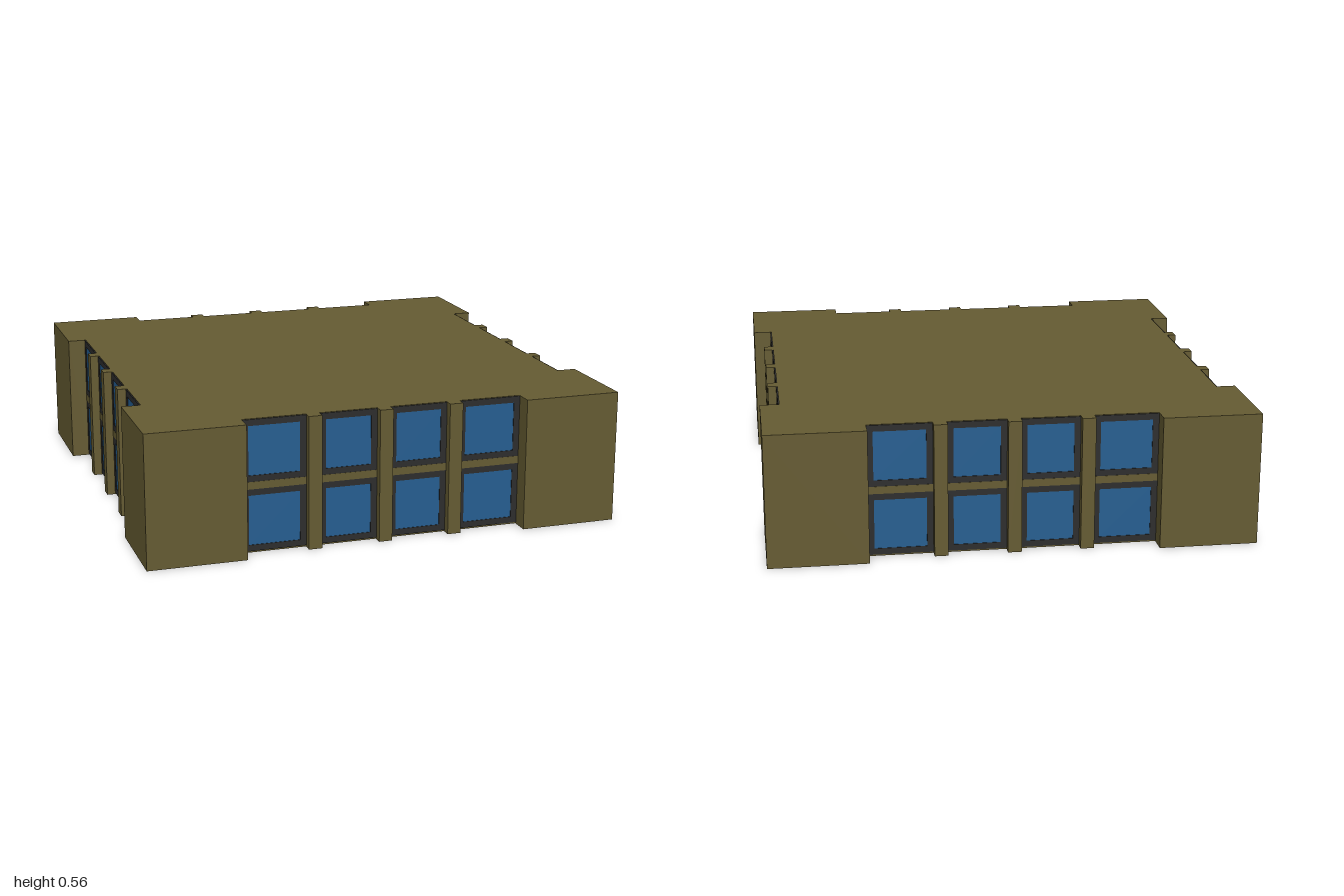
import * as THREE from 'three';

const H = 0.555;     // storey height
const WALL = 0.92;   // recessed wall plane
const INNER = 0.592; // inner edge of the corner blocks

const mat = (color) => new THREE.MeshStandardMaterial({ color, flatShading: true });
const stone = mat(0x665c33), dark = mat(0x2d2d2d), blue = mat(0x265f92);

function box(parent, name, material, w, h, d, x, y, z) {
  const mesh = new THREE.Mesh(new THREE.BoxGeometry(w, h, d), material);
  mesh.name = name;
  mesh.position.set(x, y, z);
  parent.add(mesh);
}

// Dark rectangular frame around a slightly sunken pane
function windowUnit(parent, x0, x1, y0, y1) {
  const border = 0.026, w = x1 - x0, h = y1 - y0;
  const outer = new THREE.Shape([[x0, y0], [x1, y0], [x1, y1], [x0, y1]].map((p) => new THREE.Vector2(...p)));
  const a = x0 + border, b = x1 - border, c = y0 + border, d = y1 - border;
  outer.holes.push(new THREE.Path([[a, c], [a, d], [b, d], [b, c]].map((p) => new THREE.Vector2(...p))));
  const frame = new THREE.Mesh(new THREE.ExtrudeGeometry(outer, { depth: 0.015, bevelEnabled: false }), dark);
  frame.name = 'windowFrame';
  frame.position.z = WALL - 0.01;
  parent.add(frame);
  box(parent, 'windowPane', blue, w - 2 * border, h - 2 * border, 0.01, (x0 + x1) / 2, (y0 + y1) / 2, WALL - 0.0025);
}

// One facade facing +z: two rows of four windows, a rail and three mullions
function facade() {
  const group = new THREE.Group();
  group.name = 'facade';
  const columns = [[-INNER, -0.327], [-0.271, -0.028], [0.028, 0.271], [0.327, INNER]];
  for (const [x0, x1] of columns) {
    windowUnit(group, x0, x1, 0.007, 0.266);
    windowUnit(group, x0, x1, 0.297, H - 0.002);
  }
  box(group, 'middleRail', stone, 2 * INNER, 0.031, 0.02, 0, 0.2815, WALL - 0.004);
  for (const x of [-0.299, 0, 0.299]) {
    box(group, 'mullion', stone, 0.056, H, 0.06, x, H / 2, 0.93);
  }
  return group;
}

export function createModel() {
  const model = new THREE.Group();
  model.name = 'storey';

  // Core and corner blocks as one notched plan, so the roof and floor are flush
  const plan = new THREE.Shape();
  const side = [[-1, -1], [-INNER, -1], [-INNER, -WALL], [INNER, -WALL], [INNER, -1]];
  const points = [];
  for (let i = 0; i < 4; i++) {
    const c = Math.round(Math.cos(i * Math.PI / 2)), s = Math.round(Math.sin(i * Math.PI / 2));
    for (const [x, y] of side) points.push(new THREE.Vector2(c * x - s * y, s * x + c * y));
  }
  plan.setFromPoints(points);
  const geometry = new THREE.ExtrudeGeometry(plan, { depth: H, bevelEnabled: false });
  geometry.rotateX(-Math.PI / 2);
  const body = new THREE.Mesh(geometry, stone);
  body.name = 'wallsAndCornerBlocks';
  model.add(body);

  // Same facade on all four sides
  for (let i = 0; i < 4; i++) {
    const f = facade();
    f.rotation.y = i * Math.PI / 2;
    model.add(f);
  }
  return model;
}
